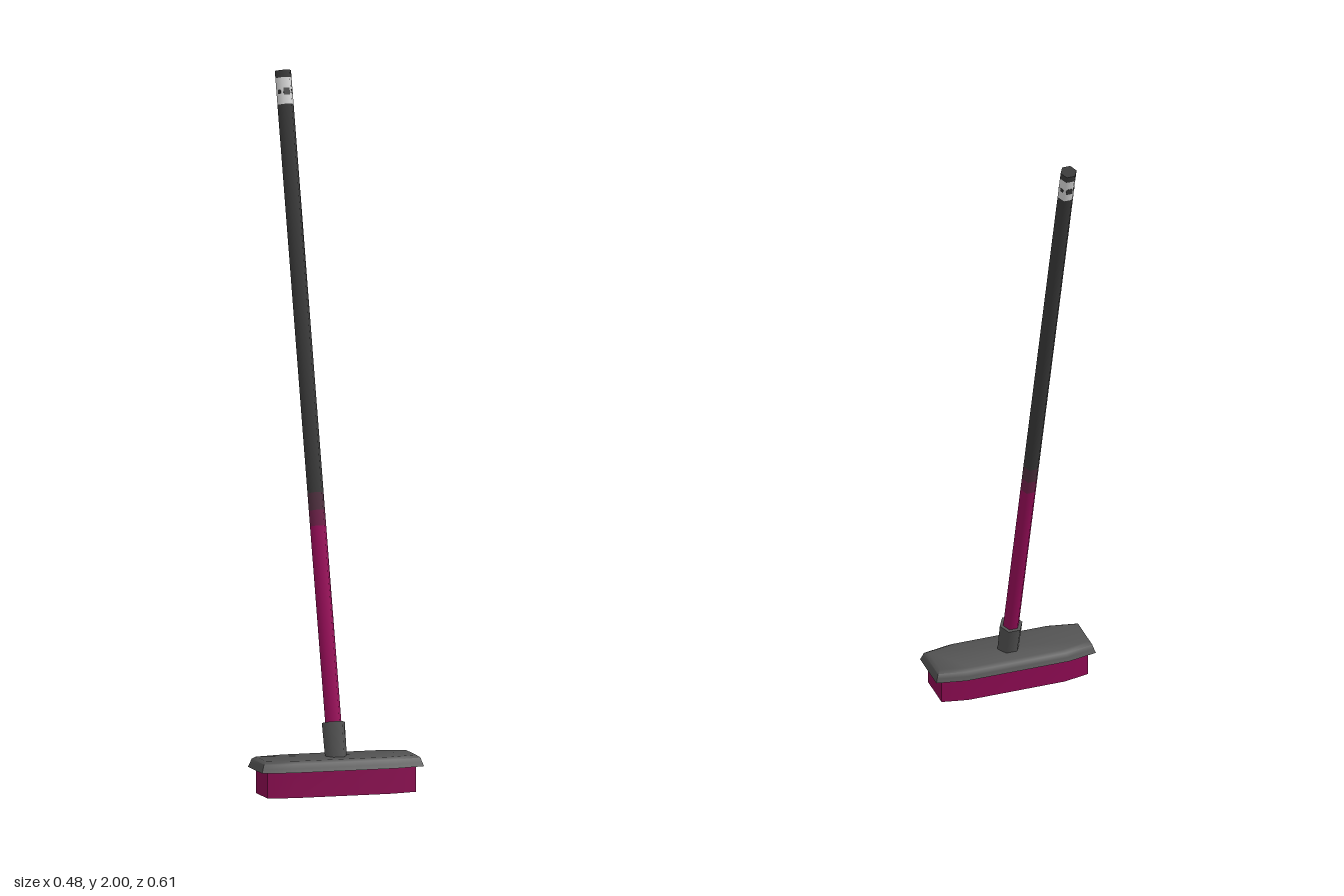
import * as THREE from 'three';
import { toCreasedNormals } from 'three/addons/utils/BufferGeometryUtils.js';

const mat = (name, color, side = THREE.FrontSide) =>
  Object.assign(new THREE.MeshStandardMaterial({ color, side }), { name });

// Eight-sided outline, tapered toward both ends, counter-clockwise seen from above
function outline(endX, endZ, midX, midZ) {
  return [[endX, endZ], [endX, -endZ], [midX, -midZ], [-midX, -midZ],
    [-endX, -endZ], [-endX, endZ], [-midX, midZ], [midX, midZ]];
}

// Stack of inset copies of an outline; rings are [y, inset]
function loft(points, rings, closeTop, closeBottom) {
  const pos = [], idx = [], n = points.length;
  for (const [y, inset] of rings) {
    for (const [x, z] of points) pos.push(x - Math.sign(x) * inset, y, z - Math.sign(z) * inset);
  }
  for (let r = 0; r < rings.length - 1; r++) {
    for (let i = 0; i < n; i++) {
      const a = r * n + i, b = r * n + (i + 1) % n;
      idx.push(a, b, b + n, a, b + n, a + n);
    }
  }
  const top = (rings.length - 1) * n;
  for (let i = 1; i < n - 1; i++) {
    if (closeTop) idx.push(top, top + i, top + i + 1);
    if (closeBottom) idx.push(0, i + 1, i);
  }
  const g = new THREE.BufferGeometry();
  g.setAttribute('position', new THREE.Float32BufferAttribute(pos, 3));
  g.setIndex(idx);
  return toCreasedNormals(g, 0.9);
}

export function createModel() {
  const magenta = mat('magenta', 0x960c58);
  const bristle = mat('bristle magenta', 0x8a0a50, THREE.DoubleSide);
  const blendLow = mat('blend plum', 0x6c2048);
  const blendHigh = mat('blend dark plum', 0x4e2f3e);
  const dark = mat('charcoal', 0x383838);
  const grey = mat('plastic grey', 0x525252);
  const pale = mat('pale grey', 0xd4d4d4);

  const model = new THREE.Group();
  model.name = 'broom';
  const add = (parent, name, geometry, material) => {
    const m = new THREE.Mesh(geometry, material);
    m.name = name;
    parent.add(m);
    return m;
  };

  // Head: domed plate over a hollow skirt of bristles
  const head = new THREE.Group();
  head.name = 'head';
  head.position.z = 0.22;
  model.add(head);
  add(head, 'headPlate', loft(outline(0.24, 0.068, 0.155, 0.085),
    [[0.074, 0], [0.085, 0.004], [0.098, 0.008], [0.105, 0.018]], true, true), grey);
  add(head, 'bristles', loft(outline(0.22, 0.056, 0.145, 0.071),
    [[0, 0], [0.076, 0]], false, false), bristle);

  // Pole: six-sided, leaning back from the middle of the head
  const pole = new THREE.Group();
  pole.name = 'pole';
  pole.position.set(0, 0.1, 0.22);
  pole.rotation.x = -Math.PI / 12;
  model.add(pole);
  const hex = (name, from, to, material, rTop = 0.024, rBottom = rTop, open = true) => {
    const g = new THREE.CylinderGeometry(rTop, rBottom, to - from, 6, 1, open, Math.PI / 6);
    add(pole, name, g, material).position.y = (from + to) / 2;
  };
  hex('socket', -0.015, 0.1, grey, 0.034, 0.032, false);
  hex('lowerPole', 0.08, 0.66, magenta);
  hex('lowerBlend', 0.66, 0.705, blendLow);
  hex('upperBlend', 0.705, 0.755, blendHigh);
  hex('upperPole', 0.755, 1.864, dark);
  hex('paleBand', 1.864, 1.94, pale);
  hex('endCap', 1.94, 1.961, dark, 0.024, 0.024, false);

  // Small dark plates on the faces of the pale band
  for (let i = 0; i < 6; i++) {
    const a = i * Math.PI / 3;
    const plain = i % 3 === 0;
    const m = add(pole, 'bandMark',
      new THREE.BoxGeometry(plain ? 0.018 : 0.01, plain ? 0.02 : 0.012, 0.002), dark);
    m.position.set(Math.sin(a) * 0.0208, 1.9, Math.cos(a) * 0.0208);
    m.rotation.y = a;
  }
  return model;
}
